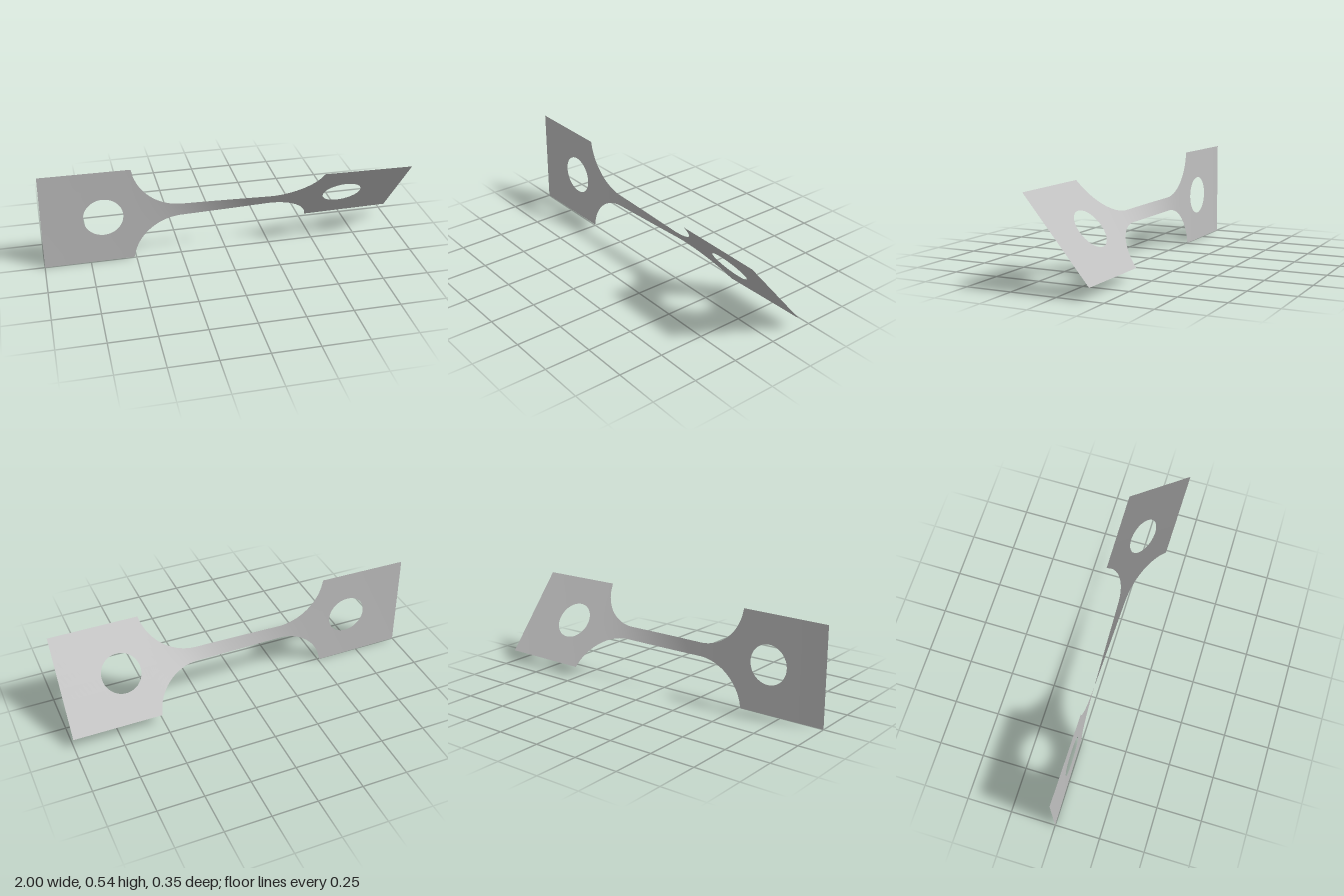
import * as THREE from 'three';
import { mergeVertices } from 'three/addons/utils/BufferGeometryUtils.js';

const GRIP = 0.271;        // half width of the grips
const NECK = 0.037;        // half width of the neck
const SHOULDER = 0.51;     // where grip meets fillet
const FILLET_X = 0.24;     // where fillet meets neck
const FILLET_R = 0.273;
const HOLE_X = 0.669, HOLE_R = 0.108;
const TWIST = THREE.MathUtils.degToRad(39.9);

// half width of the bar at x
function halfWidth(x) {
  const a = Math.abs(x);
  if (a >= SHOULDER) return GRIP;
  if (a <= FILLET_X) return NECK;
  return Math.min(GRIP, NECK + FILLET_R - Math.sqrt(FILLET_R ** 2 - (a - FILLET_X) ** 2));
}

// half height of the round hole at x
function holeHalf(x) {
  return Math.sqrt(Math.max(0, HOLE_R ** 2 - (Math.abs(x) - HOLE_X) ** 2));
}

// narrow sections twist more than wide ones
const STEPS = 800;
const angles = [0];
for (let i = 0; i < STEPS; i++) {
  const x = -1 + (2 * (i + 0.5)) / STEPS;
  angles.push(angles[i] + halfWidth(x) ** -1.5);
}
function angleAt(x) {
  const f = ((x + 1) / 2) * STEPS;
  const i = Math.min(STEPS - 1, Math.floor(f));
  return (TWIST * THREE.MathUtils.lerp(angles[i], angles[i + 1], f - i)) / angles[STEPS];
}

// evenly spaced stations from a to b
const span = (a, b, n) => Array.from({ length: n + 1 }, (_, i) => a + ((b - a) * i) / n);

// sheet made of a lower and an upper strip that part around the hole
function sheet(xs) {
  const ROWS = 4, pos = [], idx = [];
  for (const side of [-1, 1]) {
    const base = pos.length / 3;
    xs.forEach((x, i) => {
      const w = halfWidth(x), h = holeHalf(x), t = angleAt(x);
      for (let j = 0; j <= ROWS; j++) {
        const k = side < 0 ? 1 - j / ROWS : j / ROWS;
        const v = side * (h + (w - h) * k);
        pos.push(x, GRIP + v * Math.cos(t), v * Math.sin(t));
        if (i && j) {
          const d = base + i * (ROWS + 1) + j, c = d - 1;
          const b = d - ROWS - 1, a = b - 1;
          idx.push(a, c, d, a, d, b);
        }
      }
    });
  }
  let g = new THREE.BufferGeometry();
  g.setAttribute('position', new THREE.Float32BufferAttribute(pos, 3));
  g.setIndex(idx);
  g = mergeVertices(g, 1e-5);
  g.computeVertexNormals();
  return g;
}

export function createModel() {
  const steel = new THREE.MeshStandardMaterial({ color: 0xc0c0c0, side: THREE.DoubleSide });
  steel.name = 'steel grey';
  const group = new THREE.Group();
  group.name = 'twistedTestBar';
  const add = (name, xs) => {
    const mesh = new THREE.Mesh(sheet(xs), steel);
    mesh.name = name;
    group.add(mesh);
  };

  // grips with a pin hole; stations crowd towards the ends of the hole
  const hole = span(0, Math.PI, 32).map((a) => HOLE_X - HOLE_R * Math.cos(a));
  const grip = [
    ...span(SHOULDER, HOLE_X - HOLE_R, 3).slice(0, -1),
    ...hole,
    ...span(HOLE_X + HOLE_R, 1, 8).slice(1),
  ];
  add('rightGrip', grip.map((x) => -x).reverse());
  add('leftGrip', grip);

  // waist: fillets and slender neck in one run
  add('neck', [
    ...span(-SHOULDER, -FILLET_X, 28),
    ...span(-FILLET_X, FILLET_X, 32).slice(1, -1),
    ...span(FILLET_X, SHOULDER, 28),
  ]);
  return group;
}
